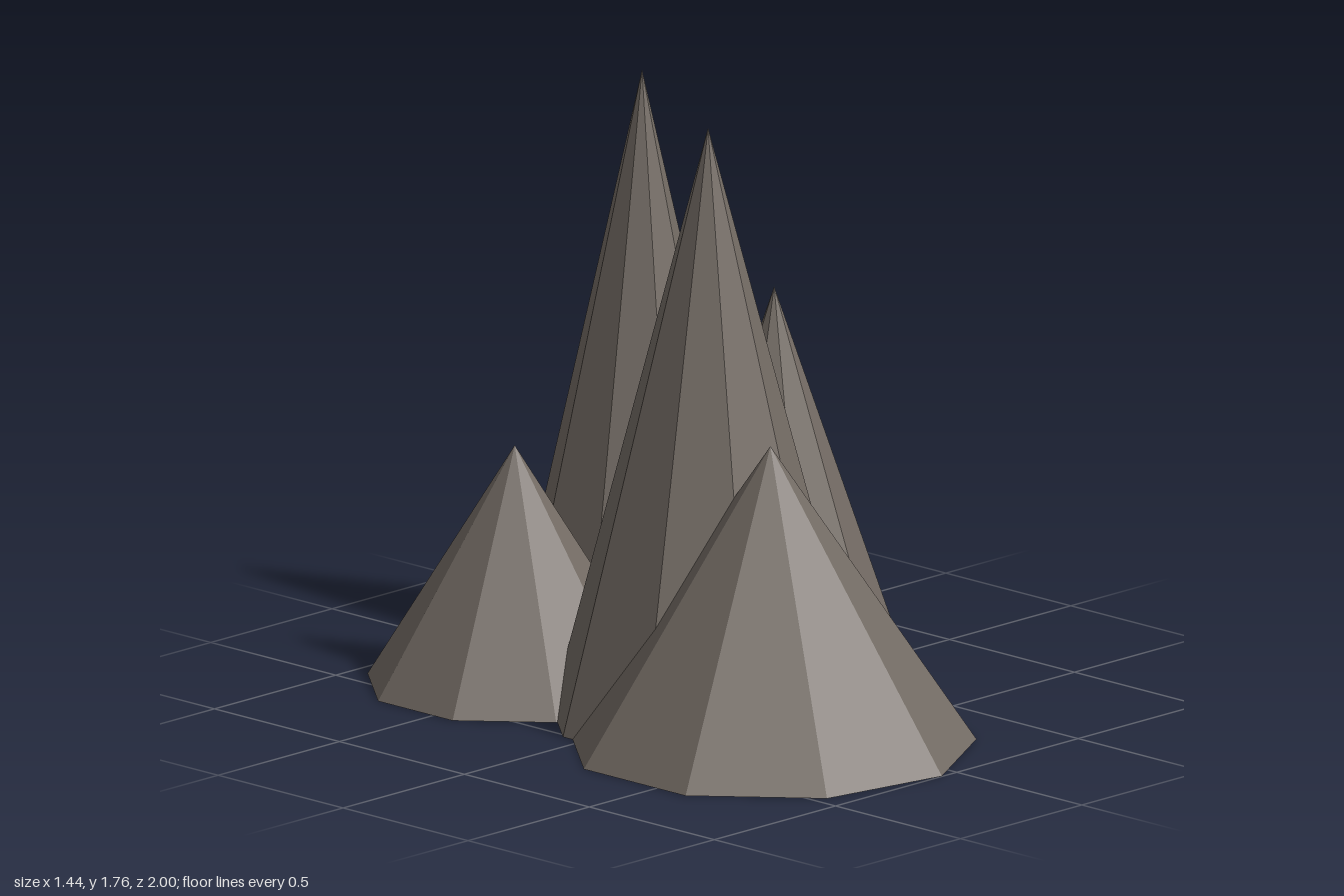
import * as THREE from 'three';

export function createModel() {
  const group = new THREE.Group();
  group.name = 'rockSpires';
  const stone = new THREE.MeshStandardMaterial({ color: 0x746c65, flatShading: true });
  stone.name = 'stone';

  // Nine-sided spire standing on the ground, with one corner pointing to +x
  function addSpire(name, radius, height, x, z) {
    const geometry = new THREE.ConeGeometry(radius, height, 9, 1, false, Math.PI / 2);
    geometry.translate(0, height / 2, 0);
    const mesh = new THREE.Mesh(geometry, stone);
    mesh.name = name;
    mesh.position.set(x, 0, z);
    group.add(mesh);
  }

  addSpire('centreSpire', 0.463, 1.76, -0.083, 0.085);
  addSpire('backSpire', 0.385, 1.72, 0.333, -0.583);
  addSpire('sideSpire', 0.405, 1.2, 0.272, 0.005);
  addSpire('frontMound', 0.595, 0.89, -0.163, 0.412);
  addSpire('backMound', 0.436, 0.71, -0.204, -0.571);

  return group;
}
